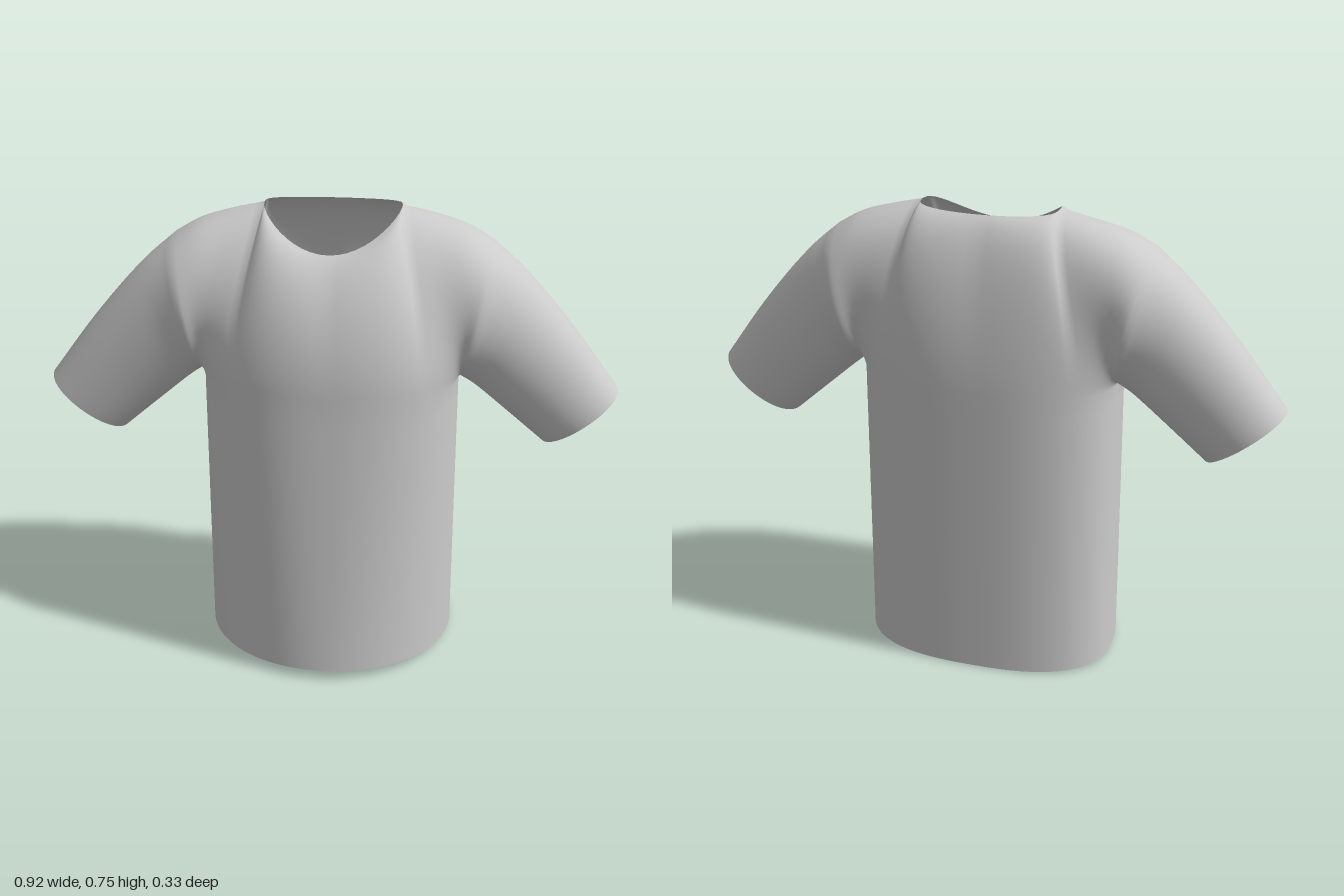
import * as THREE from 'three';
import { mergeGeometries, mergeVertices } from 'three/addons/utils/BufferGeometryUtils.js';

const V = (x, y, z) => new THREE.Vector3(x, y, z);
const lerp = THREE.MathUtils.lerp;
const UNDERARM = 1.73;

// Grid surface from fn(u, v), with u and v in 0..1
function patch(cols, rows, fn, flip) {
  const pos = [], idx = [];
  for (let j = 0; j <= rows; j++)
    for (let i = 0; i <= cols; i++) pos.push(...fn(i / cols, j / rows).toArray());
  for (let j = 0; j < rows; j++)
    for (let i = 0; i < cols; i++) {
      const a = j * (cols + 1) + i, b = a + 1, c = b + cols + 1, d = a + cols + 1;
      idx.push(...(flip ? [a, c, b, a, d, c] : [a, b, c, a, c, d]));
    }
  const g = new THREE.BufferGeometry();
  g.setAttribute('position', new THREE.Float32BufferAttribute(pos, 3));
  g.setIndex(idx);
  return g;
}

// Body tube: a runs from the centre line to the side seam, h from hem to underarm
function body(a, h, s) {
  const t = a * Math.PI / 2, front = s > 0;
  const depth = front ? lerp(0.195, 0.163, h) : 0.132;
  const e = 2 / (front ? lerp(2.05, 2.4, h) : 2.6);
  const x = lerp(0.208, 0.204, h) * Math.pow(Math.sin(t), e);
  const z = -0.03 + s * depth * Math.pow(Math.max(0, Math.cos(t)), e);
  const hem = 1.255 + 0.05 * z;
  return V(x, lerp(hem, UNDERARM, h), z);
}

// Shoulder seam from the neck to the armhole, then on to the cuff
const shoulder = new THREE.CatmullRomCurve3([
  V(0.107, 1.995, -0.048), V(0.16, 1.982, -0.048), V(0.21, 1.966, -0.044), V(0.25, 1.943, -0.04)]);
const sleeveTop = new THREE.CatmullRomCurve3([
  V(0.25, 1.943, -0.04), V(0.3, 1.9, -0.038), V(0.38, 1.81, -0.035), V(0.46, 1.705, -0.03)]);
const sleeveUnder = new THREE.CatmullRomCurve3([
  V(0.204, UNDERARM, -0.03), V(0.225, 1.715, -0.03), V(0.28, 1.668, -0.03), V(0.342, 1.614, -0.03)]);

// Neckline for a below 0.5, shoulder seam beyond it
function topEdge(a, s) {
  if (a >= 0.5) return shoulder.getPoint((a - 0.5) * 2);
  const t = a * Math.PI, c = Math.cos(t);
  return s > 0
    ? V(0.107 * Math.sin(t), 1.995 - 0.05 * c * c, -0.048 + 0.096 * c)
    : V(0.107 * Math.sin(t), 1.995 - 0.005 * c, -0.048 - 0.047 * Math.pow(c, 0.6));
}

// Curved rib between a lower and an upper point
const rib = (p, hp, q, hq, v) =>
  new THREE.CubicBezierCurve3(p, p.clone().add(hp), q.clone().add(hq), q).getPoint(v);

const armDepth = (b) => lerp(0.096, 0.06, Math.pow(b, 0.8)) * 4 / 3;

// Chest and upper back, ending at the neckline and shoulder seam
function yoke(a, v, s) {
  const w = Math.pow(a, 4), reach = armDepth(0);
  const lower = V(0, lerp(0.115, 0, w), s * reach * w);
  const upper = V(0, -0.02 * (1 - a), s * lerp(0.035, reach, a));
  return rib(body(a, 1, s), lower, topEdge(a, s), upper, v);
}

// Half of a sleeve, from underarm seam to top seam
function sleeve(b, v, s) {
  const h = V(0, 0, s * armDepth(b));
  return rib(sleeveUnder.getPoint(b), h, sleeveTop.getPoint(b), h, v);
}

export function createModel() {
  const parts = [];
  for (const side of [1, -1])
    for (const s of [1, -1]) {
      const mirror = (fn) => (u, v) => {
        const p = fn(u, v, s);
        p.x *= side;
        return p;
      };
      const flip = side * s < 0;
      parts.push(
        patch(24, 16, mirror(body), flip),
        patch(24, 18, mirror(yoke), flip),
        patch(16, 18, mirror(sleeve), flip));
    }
  // Weld the panels so the cloth shades as one smooth surface
  const geometry = mergeVertices(mergeGeometries(parts), 1e-4);
  geometry.computeVertexNormals();

  const shirt = new THREE.Mesh(geometry,
    new THREE.MeshStandardMaterial({ color: 0xcccccc, side: THREE.DoubleSide }));
  shirt.name = 'shirt';
  const group = new THREE.Group();
  group.name = 'shortSleeveShirt';
  group.add(shirt);
  return group;
}
